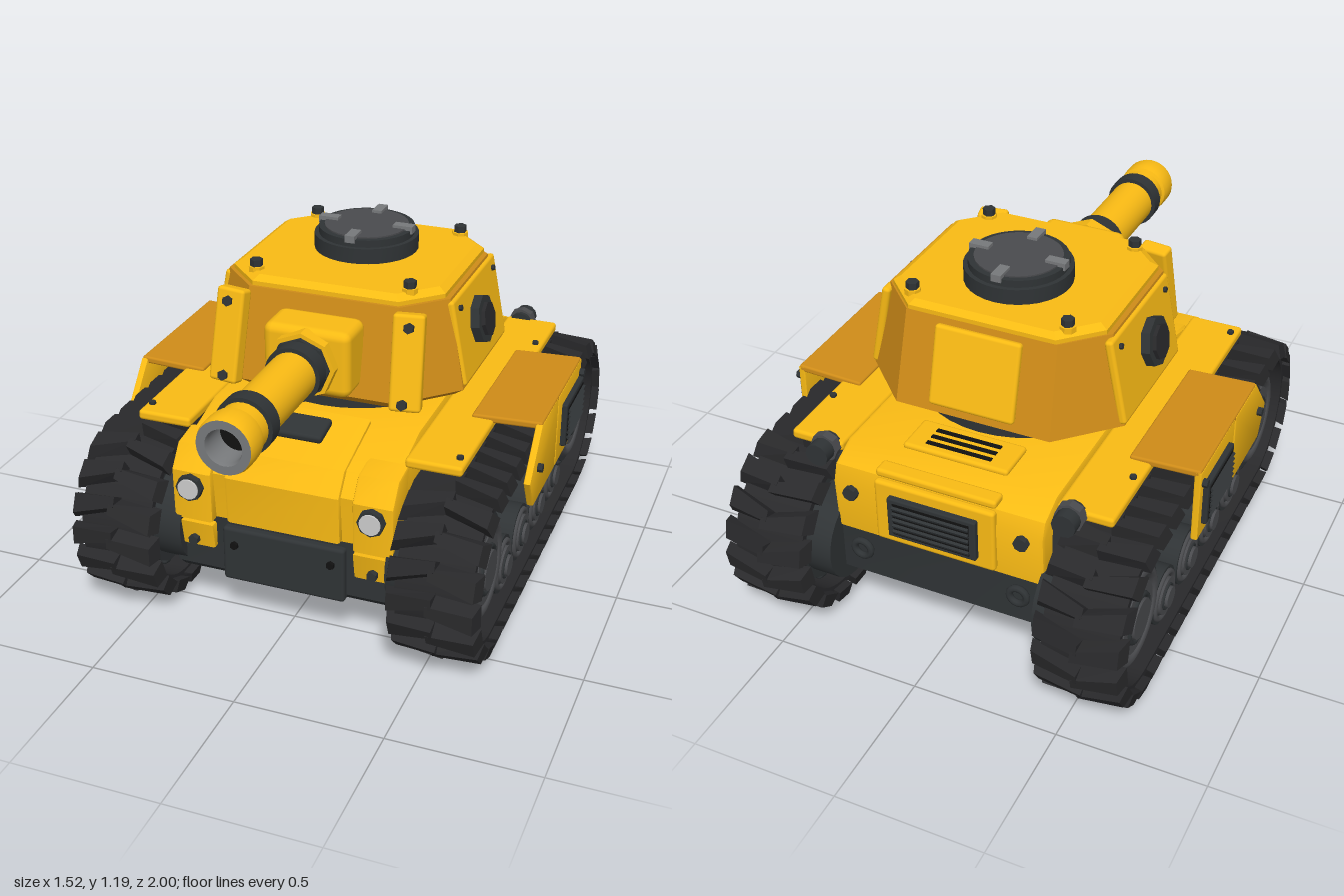
import * as THREE from 'three';
import { mergeGeometries, toCreasedNormals } from 'three/addons/utils/BufferGeometryUtils.js';
import { RoundedBoxGeometry } from 'three/addons/geometries/RoundedBoxGeometry.js';

const paint = (color) => new THREE.MeshStandardMaterial({ color });
const yellow = paint(0xfabb14), amber = paint(0xcf8c18), dark = paint(0x2f3335);
const rubber = paint(0x29292b), steel = paint(0x4a4b4e), grey = paint(0x77797b);
const lens = paint(0xf2f2f2), black = paint(0x111111);
const SIDES = [1, -1];

function add(parent, name, geo, mat, [x, y, z] = [0, 0, 0], [rx, ry, rz] = [0, 0, 0]) {
  const mesh = new THREE.Mesh(geo, mat);
  mesh.name = name;
  mesh.position.set(x, y, z);
  mesh.rotation.set(rx, ry, rz);
  parent.add(mesh);
}
const block = (w, h, d, r = 0.012) => new RoundedBoxGeometry(w, h, d, 2, r);
const disc = (r, h, n = 24) => toCreasedNormals(new THREE.CylinderGeometry(r, r, h, n), 0.6);
const discX = (r, h, n) => disc(r, h, n).rotateZ(Math.PI / 2);
const discZ = (r, h, n) => disc(r, h, n).rotateX(Math.PI / 2);

// Extrudes a side shape (z, y) across the width x, centred on x = 0
function acrossX(shape, width, bevel = 0) {
  const geo = new THREE.ExtrudeGeometry(shape, {
    depth: width - 2 * bevel, bevelEnabled: bevel > 0, bevelSize: bevel, bevelOffset: -bevel,
    bevelThickness: bevel, bevelSegments: 2, curveSegments: 16,
  });
  return toCreasedNormals(geo.translate(0, 0, bevel - width / 2).rotateY(-Math.PI / 2), 0.6);
}
const polygon = (pts) => new THREE.Shape(pts.map((p) => new THREE.Vector2(...p)));
const turned = (pts) => toCreasedNormals(
  new THREE.LatheGeometry(pts.map((p) => new THREE.Vector2(...p)), 28).rotateX(Math.PI / 2), 0.6);

// Joins octagonal sections [y, halfWidth, front, back, corner] from bottom to top
function octagonLoft(sections) {
  const pos = [], index = [], n = 8, last = (sections.length - 1) * n;
  for (const [y, w, f, b, c] of sections) {
    pos.push(w, y, f - c, w, y, b + c, w - c, y, b, c - w, y, b,
      -w, y, b + c, -w, y, f - c, c - w, y, f, w - c, y, f);
  }
  for (let s = 0; s < last; s += n) for (let i = 0; i < n; i++) {
    const j = (i + 1) % n;
    index.push(s + i, s + j, s + n + j, s + i, s + n + j, s + n + i);
  }
  for (let i = 1; i < n - 1; i++) index.push(0, i + 1, i, last, last + i, last + i + 1);
  const geo = new THREE.BufferGeometry();
  geo.setAttribute('position', new THREE.Float32BufferAttribute(pos, 3));
  geo.setIndex(index);
  return toCreasedNormals(geo, 0.3);
}

// Track: straight runs joined by half circles
const FRONT = 0.45, REAR = -0.69, AXLE = 0.31;
function loopShape(r, Type) {
  const s = new Type();
  s.moveTo(REAR, AXLE - r);
  s.lineTo(FRONT, AXLE - r);
  s.absarc(FRONT, AXLE, r, -Math.PI / 2, Math.PI / 2, false);
  s.lineTo(REAR, AXLE + r);
  s.absarc(REAR, AXLE, r, Math.PI / 2, Math.PI * 1.5, false);
  return s;
}

// Wedge-shaped half tread: swept, with the outer end cut down and pointed
function treadHalf(side) {
  const geo = new THREE.BoxGeometry(0.165, 0.064, 0.082), p = geo.attributes.position;
  for (let i = 0; i < p.count; i++) {
    const t = p.getX(i) / 0.165 + 0.5, up = p.getY(i) > 0 ? 1 : 0;
    p.setZ(i, p.getZ(i) * (0.55 + 0.45 * t) * (up ? 0.8 : 1) + 0.03 * (t - 0.5) * side + up * 0.014);
    p.setY(i, p.getY(i) - up * t * 0.014);
    p.setX(i, p.getX(i) - up * t * 0.015);
  }
  geo.translate(0.0725, 0, 0);
  return side > 0 ? geo : geo.rotateY(Math.PI);
}

function trackGeometry() {
  const r = 0.278, run = FRONT - REAR, arc = Math.PI * r, count = 37, parts = [];
  for (let i = 0; i < count; i++) {
    let d = ((i + 0.5) / count) * 2 * (run + arc), z, a;
    if (d < run) { z = REAR + d; a = -Math.PI / 2; }
    else if (d < run + arc) { z = FRONT; a = -Math.PI / 2 + (d - run) / r; }
    else if (d < 2 * run + arc) { z = FRONT - (d - run - arc); a = Math.PI / 2; }
    else { z = REAR; a = Math.PI / 2 + (d - 2 * run - arc) / r; }
    for (const s of SIDES) {
      parts.push(treadHalf(s).rotateX(Math.PI / 2 - a)
        .translate(0, AXLE + r * Math.sin(a), z + r * Math.cos(a)));
    }
  }
  const geo = mergeGeometries(parts).toNonIndexed();
  geo.computeVertexNormals();
  return geo;
}

function wheel(parent, name, r, s, y, z, teeth) {
  const g = new THREE.Group();
  g.name = name;
  g.position.set(s * 0.55, y, z);
  add(g, 'tyre', discX(r, 0.18, 28), dark);
  add(g, 'rim', new THREE.TorusGeometry(r * 0.8, r * 0.1, 8, 28).rotateY(Math.PI / 2), steel, [s * 0.09, 0, 0]);
  add(g, 'face', discX(r * 0.64, 0.02), steel, [s * 0.094, 0, 0]);
  add(g, 'hubRing', new THREE.TorusGeometry(r * 0.42, r * 0.05, 8, 24).rotateY(Math.PI / 2), dark, [s * 0.104, 0, 0]);
  add(g, 'hub', discX(r * 0.36, 0.035, 16), steel, [s * 0.1, 0, 0]);
  for (let i = 0; i < teeth; i++) {
    const a = ((i + 0.5) / teeth) * Math.PI * 2;
    add(g, 'tooth', block(0.17, 0.04, 0.05, 0.015), dark, [0, r * Math.cos(a), r * Math.sin(a)], [a, 0, 0]);
  }
  parent.add(g);
}

// Louvred vent facing +z
function vent(parent, name, w, h, slats, pos, rot) {
  const g = new THREE.Group();
  g.name = name;
  g.position.set(...pos);
  g.rotation.set(...rot);
  add(g, 'ventFrame', block(w, h, 0.025, 0.006), dark);
  add(g, 'ventOpening', new THREE.BoxGeometry(w * 0.86, h * 0.8, 0.006), black, [0, 0, 0.012]);
  for (let i = 0; i < slats; i++) {
    add(g, 'slat', new THREE.BoxGeometry(w * 0.86, h * 0.07, 0.014), dark, [0, h * 0.76 * ((i + 0.5) / slats - 0.5), 0.015], [0.4, 0, 0]);
  }
  parent.add(g);
}

function buildHull(hull) {
  add(hull, 'lowerHull', acrossX(polygon([[0.57, 0.42], [0.57, 0.18], [0.54, 0.15], [-0.72, 0.15], [-0.79, 0.22], [-0.79, 0.42]]), 0.8, 0.015), dark);
  add(hull, 'upperHull', acrossX(polygon([[0.57, 0.38], [0.585, 0.55], [0.53, 0.62], [0.3, 0.68], [-0.7, 0.68], [-0.79, 0.64], [-0.81, 0.58], [-0.8, 0.4]]), 0.74, 0.015), yellow);
  add(hull, 'noseCover', acrossX(polygon([[0.59, 0.38], [0.6, 0.55], [0.545, 0.625], [0.3, 0.69], [0.28, 0.6], [0.5, 0.38]]), 0.4, 0.01), yellow);
  add(hull, 'lowerFrontPlate', block(0.43, 0.2, 0.04), dark, [0, 0.26, 0.575]);
  add(hull, 'driverHatch', block(0.18, 0.03, 0.11), dark, [0, 0.685, 0.42], [0.2, 0, 0]);
  add(hull, 'deckVentPlate', block(0.37, 0.025, 0.15), yellow, [0, 0.685, -0.6]);
  for (const z of [-0.64, -0.605, -0.57]) add(hull, 'deckVentSlot', new THREE.BoxGeometry(0.23, 0.012, 0.016), black, [0, 0.695, z]);
  add(hull, 'rearPlate', block(0.42, 0.23, 0.03), yellow, [0, 0.53, -0.81]);
  add(hull, 'rearLip', block(0.42, 0.03, 0.06), yellow, [0, 0.665, -0.78]);
  vent(hull, 'rearVent', 0.31, 0.15, 5, [0, 0.53, -0.832], [0, Math.PI, 0]);

  for (const s of SIDES) {
    add(hull, 'sideWall', new THREE.BoxGeometry(0.03, 0.24, 0.9), dark, [s * 0.383, 0.51, -0.29]);
    add(hull, 'headlightBracket', acrossX(polygon([[0.6, 0.37], [0.605, 0.55], [0.55, 0.625], [0.45, 0.64], [0.5, 0.37]]), 0.14, 0.01), yellow, [s * 0.315, 0, 0]);
    add(hull, 'lowerBracket', acrossX(polygon([[0.585, 0.265], [0.602, 0.36], [0.5, 0.36], [0.5, 0.265]]), 0.14, 0.008), yellow, [s * 0.315, 0, 0]);
    add(hull, 'headlight', discZ(0.046, 0.035, 8), dark, [s * 0.315, 0.5, 0.61]);
    add(hull, 'headlightLens', discZ(0.036, 0.012, 16), lens, [s * 0.315, 0.5, 0.628]);
    add(hull, 'frontBolt', discZ(0.018, 0.025, 6), dark, [s * 0.315, 0.295, 0.6]);
    add(hull, 'plateBolt', discZ(0.014, 0.02, 6), black, [s * 0.17, 0.3, 0.597]);
    add(hull, 'rearBolt', discZ(0.025, 0.03, 8), dark, [s * 0.3, 0.56, -0.815]);
    add(hull, 'towHook', new THREE.TorusGeometry(0.03, 0.012, 8, 16), dark, [s * 0.28, 0.33, -0.805]);
    add(hull, 'exhaust', discZ(0.04, 0.09, 12), dark, [s * 0.43, 0.655, -0.755]);
    add(hull, 'exhaustRing', discZ(0.05, 0.03, 8), steel, [s * 0.43, 0.655, -0.74]);
    // Fender and side skirt
    add(hull, 'fender', block(0.19, 0.035, 1.21), yellow, [s * 0.47, 0.655, -0.125]);
    for (const z of [0.42, -0.51]) add(hull, 'fenderBolt', disc(0.012, 0.016, 6), dark, [s * 0.54, 0.675, z]);
    add(hull, 'skirtTop', block(0.24, 0.025, 0.55, 0.008), amber, [s * 0.61, 0.675, -0.145], [0, 0, s * 0.04]);
    add(hull, 'skirtFrontPanel', acrossX(polygon([[0.13, 0.685], [0.26, 0.53], [0.2, 0.42], [-0.085, 0.42], [-0.085, 0.685]]), 0.025, 0.006), yellow, [s * 0.72, 0, 0]);
    add(hull, 'skirtRearPanel', acrossX(polygon([[-0.095, 0.685], [-0.095, 0.42], [-0.42, 0.42], [-0.42, 0.685]]), 0.025, 0.006), yellow, [s * 0.72, 0, 0]);
    vent(hull, 'skirtVent', 0.25, 0.16, 6, [s * 0.738, 0.55, -0.27], [0, s * Math.PI / 2, 0]);
    for (const [y, z] of [[0.55, 0.17], [0.64, -0.4]]) add(hull, 'skirtBolt', discX(0.015, 0.03, 6), dark, [s * 0.735, y, z]);
  }
}

function buildTurret(turret) {
  add(turret, 'turretRing', disc(0.37, 0.06, 40), dark, [0, 0.695, -0.13]);
  add(turret, 'turretBody', octagonLoft([
    [0.715, 0.41, 0.24, -0.49, 0.17], [0.755, 0.452, 0.29, -0.55, 0.18], [1.065, 0.392, 0.22, -0.47, 0.13]]), amber);
  add(turret, 'roof', octagonLoft([
    [1.055, 0.375, 0.21, -0.47, 0.12], [1.08, 0.375, 0.21, -0.47, 0.12], [1.097, 0.35, 0.185, -0.45, 0.11]]), yellow);
  add(turret, 'rearPanel', block(0.3, 0.27, 0.03), yellow, [0, 0.915, -0.515], [0.26, 0, 0]);
  for (const s of SIDES) {
    add(turret, 'sidePanel', block(0.03, 0.3, 0.48), yellow, [s * 0.418, 0.908, -0.14], [0, 0, s * 0.19]);
    add(turret, 'sidePort', discX(0.085, 0.05, 8), dark, [s * 0.437, 0.92, -0.11], [0, 0, s * 0.19]);
    add(turret, 'sidePortCap', discX(0.06, 0.07, 8), rubber, [s * 0.44, 0.92, -0.11], [0, 0, s * 0.19]);
    add(turret, 'frontPost', block(0.105, 0.32, 0.055), yellow, [s * 0.312, 0.905, 0.275], [-0.23, s * 0.15, s * 0.04]);
    for (const [y, z] of [[1.025, 0.275], [0.78, 0.333]]) add(turret, 'postBolt', discZ(0.018, 0.026, 6), dark, [s * 0.315, y, z], [-0.23, 0, 0]);
    for (const z of [0.14, -0.41]) {
      add(turret, 'roofBoltBase', disc(0.028, 0.02, 8), yellow, [s * 0.27, 1.097, z]);
      add(turret, 'roofBolt', disc(0.022, 0.036, 6), dark, [s * 0.27, 1.112, z]);
    }
    for (const z of [0.05, -0.33]) add(turret, 'panelBolt', discX(0.01, 0.02, 6), dark, [s * 0.412, 1.02, z], [0, 0, s * 0.19]);
  }
  // Hatch
  const hatch = new THREE.Group();
  hatch.name = 'hatch';
  hatch.position.set(0, 1.1, -0.19);
  turret.add(hatch);
  add(hatch, 'hatchCollar', disc(0.18, 0.06, 32), dark, [0, 0.02, 0]);
  add(hatch, 'hatchRim', disc(0.165, 0.03, 32), dark, [0, 0.06, 0]);
  add(hatch, 'hatchLid', disc(0.145, 0.02, 32), steel, [0, 0.07, 0]);
  for (let i = 0; i < 4; i++) {
    const a = i * Math.PI / 2;
    add(hatch, 'hatchClamp', new THREE.BoxGeometry(0.035, 0.025, 0.07), grey, [0.135 * Math.sin(a), 0.077, 0.135 * Math.cos(a)], [0, a, 0]);
  }
  // Gun
  add(turret, 'mantlet', block(0.3, 0.23, 0.16, 0.03), yellow, [0, 0.9, 0.3]);
  add(turret, 'gunCollar', discZ(0.115, 0.05, 8), yellow, [0, 0.9, 0.39]);
  add(turret, 'gunCollarRing', discZ(0.1, 0.06, 8), dark, [0, 0.9, 0.4]);
  add(turret, 'barrel', turned([[0.08, 0.36], [0.08, 0.91], [0.09, 0.915], [0.093, 0.935], [0.093, 0.985], [0.088, 1]]), yellow, [0, 0.9, 0]);
  add(turret, 'muzzle', turned([[0.088, 1], [0.06, 1], [0.055, 0.985], [0.055, 0.85]]), grey, [0, 0.9, 0]);
  add(turret, 'boreEnd', discZ(0.055, 0.01), black, [0, 0.9, 0.9]);
  for (const z of [0.46, 0.83]) add(turret, 'barrelBand', discZ(0.094, 0.055, 28), dark, [0, 0.9, z]);
}

export function createModel() {
  const model = new THREE.Group();
  model.name = 'tank';
  const group = (name) => {
    const g = new THREE.Group();
    g.name = name;
    model.add(g);
    return g;
  };
  buildHull(group('hull'));
  buildTurret(group('turret'));

  // Running gear
  const treads = trackGeometry();
  const beltShape = loopShape(0.258, THREE.Shape);
  beltShape.holes.push(loopShape(0.235, THREE.Path));
  const belt = acrossX(beltShape, 0.25);
  for (const s of SIDES) {
    const gear = group(s > 0 ? 'leftTrack' : 'rightTrack');
    add(gear, 'belt', belt, rubber, [s * 0.55, 0, 0]);
    add(gear, 'treads', treads, rubber, [s * 0.55, 0, 0]);
    for (const z of [0.456, -0.72]) {
      wheel(gear, 'sprocket', 0.19, s, AXLE, z, 12);
      add(gear, 'driveHousing', discX(0.16, 0.12, 24), dark, [s * 0.42, AXLE, z]);
    }
    for (let i = 0; i < 4; i++) wheel(gear, 'roadWheel', 0.103, s, 0.18, 0.21 - 0.22 * i, 0);
  }
  return model;
}
